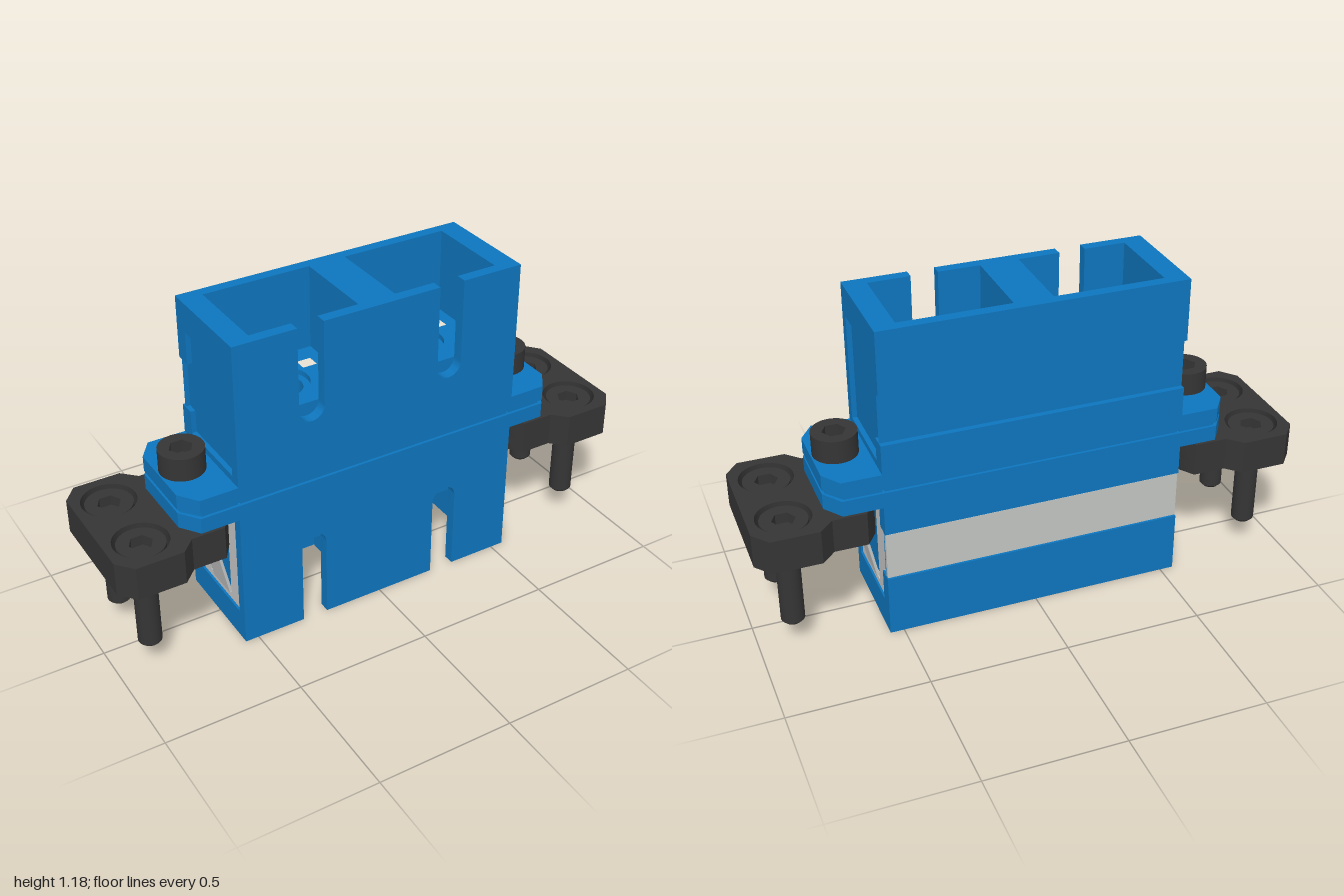
import * as THREE from 'three';
import { toCreasedNormals } from 'three/addons/utils/BufferGeometryUtils.js';

const mat = (name, color) => {
  const m = new THREE.MeshStandardMaterial({ color });
  m.name = name;
  return m;
};

export function createModel() {
  const blue = mat('blue plastic', 0x0e76be);
  const dark = mat('dark steel', 0x353535);
  const grey = mat('clip metal', 0xc4c6c4);
  const MID = 0.59, CELL = 0.27;

  const add = (parent, name, geo, material, x = 0, y = 0, z = 0) => {
    const m = new THREE.Mesh(geo, material);
    m.name = name;
    m.position.set(x, y, z);
    parent.add(m);
    return m;
  };
  const group = (parent, name) => {
    const g = new THREE.Group();
    g.name = name;
    parent.add(g);
    return g;
  };
  // Points are [x, z]; shapes are extruded upwards from y0 to y1
  const poly = (pts, C = THREE.Shape) => new C(pts.map(([x, z]) => new THREE.Vector2(x, -z)));
  const circle = (r, x = 0, z = 0, C = THREE.Shape) => new C().absarc(x, -z, r, 0, Math.PI * 2);
  const rise = (shape, y0, y1) => {
    const g = new THREE.ExtrudeGeometry(shape, { depth: y1 - y0, bevelEnabled: false, curveSegments: 20 });
    g.rotateX(-Math.PI / 2).translate(0, y0, 0);
    return toCreasedNormals(g, 0.6);
  };

  // One horizontal slice of the housing behind the front wall
  function slice({ recess = false, groove = false, cavity = false, hole = 0, inset = 0 }) {
    const E = 0.55 - inset, e = recess ? 0.532 : E;
    const back = groove ? -0.18 : -0.2 + inset;
    const step = groove ? back : -0.14;
    const front = inset ? 0.19 : 0.16;
    const pts = [[-E, back], [E, back], [E, step], [e, step], [e, front]];
    if (cavity) {
      for (const c of [CELL, -CELL]) {
        pts.push([c + 0.2, front], [c + 0.2, -0.16], [c - 0.2, -0.16], [c - 0.2, front]);
      }
    }
    pts.push([-e, front], [-e, step], [-E, step]);
    const s = poly(pts.filter((p, i) => !i || p[0] !== pts[i - 1][0] || p[1] !== pts[i - 1][1]));
    if (hole) {
      for (const c of [CELL, -CELL]) {
        s.holes.push(circle(hole, c, 0, THREE.Path));
        // latch pockets beside each bore
        for (const k of [-1, 1]) {
          const a = c + k * 0.14 - 0.035, b = a + 0.07;
          s.holes.push(poly([[a, -0.12], [b, -0.12], [b, 0.12], [a, 0.12]], THREE.Path));
        }
      }
    }
    return s;
  }

  // Front wall of one half, with two round-ended slots
  function frontWall() {
    const s = new THREE.Shape();
    s.moveTo(-0.55, 0.597);
    s.lineTo(0.55, 0.597);
    s.lineTo(0.55, 1.18);
    for (const c of [CELL, -CELL]) {
      s.lineTo(c + 0.048, 1.18);
      s.lineTo(c + 0.048, 0.87);
      s.absarc(c, 0.87, 0.048, 0, Math.PI, true);
      s.lineTo(c - 0.048, 1.18);
    }
    s.lineTo(-0.55, 1.18);
    const g = new THREE.ExtrudeGeometry(s, { depth: 0.04, bevelEnabled: false, curveSegments: 16 });
    return toCreasedNormals(g.translate(0, 0, 0.16), 0.6);
  }

  // Upper half about the seam; the lower half is the same turned over
  function housingHalf(parent, name) {
    const h = group(parent, name);
    const layers = [
      [0.59, 0.597, { inset: 0.01, hole: 0.07 }],
      [0.597, 0.68, { hole: 0.07 }],
      [0.68, 0.765, { recess: true, hole: 0.07 }],
      [0.765, 0.85, { recess: true, groove: true, hole: 0.07 }],
      [0.85, 0.87, { recess: true, groove: true, hole: 0.095 }],
      [0.87, 0.95, { recess: true, groove: true, cavity: true }],
      [0.95, 1.07, { recess: true, cavity: true }],
      [1.07, 1.18, { cavity: true }],
    ];
    for (const [a, b, o] of layers) add(h, 'housingSlice', rise(slice(o), a, b), blue);
    add(h, 'frontWall', frontWall(), blue);
    // flange ears with clipped corners and a fine seam
    const ear = (i) => poly([[0.53, -0.2 + i], [0.69 - i, -0.2 + i], [0.74 - i, -0.13],
      [0.74 - i, 0.13], [0.69 - i, 0.2 - i], [0.53, 0.2 - i]].map(([x, z]) => [x < 0.54 ? 0.549 : x, z]));
    for (const turn of [0, Math.PI]) {
      add(h, 'flangeEar', rise(ear(0), 0.597, 0.655), blue).rotation.y = turn;
      add(h, 'flangeSeam', rise(ear(0.01), 0.59, 0.597), blue).rotation.y = turn;
    }
    return h;
  }

  // Socket head cap screw, origin at the top of the head
  function screw(parent, name, r, headH, shaftR, len, x, y, z) {
    const g = group(parent, name);
    g.position.set(x, y, z);
    const hex = [];
    for (let i = 0; i < 6; i++) hex.push([0.042 * Math.cos(i * Math.PI / 3), 0.042 * Math.sin(i * Math.PI / 3)]);
    const ring = circle(r);
    ring.holes.push(poly(hex, THREE.Path));
    add(g, 'screwHead', rise(ring, -headH, 0), dark);
    add(g, 'socketFloor', new THREE.CylinderGeometry(r * 0.9, r * 0.9, headH * 0.4, 24), dark, 0, -headH * 0.75, 0);
    const c = 0.012;
    const profile = [[0, -len], [shaftR - c, -len], [shaftR, -len + c], [shaftR, -headH]];
    const shaft = new THREE.LatheGeometry(profile.map(([a, b]) => new THREE.Vector2(a, b)), 24);
    add(g, 'screwShaft', toCreasedNormals(shaft, 0.6), dark);
  }

  // Mounting bracket on the +x side, with counterbored screws
  function bracket(parent, name) {
    const g = group(parent, name);
    const half = [[0.57, 0.15], [0.61, 0.21], [0.73, 0.21], [0.78, 0.26], [0.95, 0.26], [1, 0.2]];
    const outline = [...half, ...half.map(([x, z]) => [x, -z]).reverse()];
    const top = poly(outline);
    for (const z of [-0.13, 0.13]) top.holes.push(circle(0.096, 0.875, z, THREE.Path));
    add(g, 'bracketBase', rise(poly(outline), 0.4, 0.45), dark);
    add(g, 'bracketTop', rise(top, 0.45, 0.525), dark);
    for (const z of [-0.13, 0.13]) screw(g, 'mountingScrew', 0.083, 0.07, 0.042, 0.415, 0.875, 0.515, z);
    screw(g, 'flangeScrew', 0.08, 0.085, 0.042, 0.25, 0.655, 0.74, 0);
    return g;
  }

  // Sheet-metal clip wrapped round the back of the lower half
  function springClip(parent) {
    const g = group(parent, 'springClip');
    const box = (name, x, y0, y1, z0, z1) => add(g, name,
      new THREE.BoxGeometry(0.012, y1 - y0, z1 - z0), grey, x, (y0 + y1) / 2, (z0 + z1) / 2);
    add(g, 'clipBack', new THREE.BoxGeometry(1.096, 0.178, 0.016), grey, 0, 0.3225, -0.188);
    for (const s of [-1, 1]) {
      const x = s * 0.538;
      box('clipBottom', x, 0.115, 0.14, -0.137, 0.155);
      box('clipTop', x, 0.45, 0.495, -0.137, 0.155);
      box('clipFrontStrip', x, 0.14, 0.45, 0.09, 0.155);
      box('clipRearStrip', x, 0.14, 0.45, -0.137, -0.068);
      box('clipCorner', x, 0.235, 0.41, -0.19, -0.137);
      // tongue sprung outwards towards the bracket
      const tongue = add(g, 'clipTongue', new THREE.BoxGeometry(0.01, 0.29, 0.125), grey, s * 0.569, 0.27, 0.0175);
      tongue.rotation.z = -s * 0.21;
    }
  }

  const model = new THREE.Group();
  model.name = 'duplexAdapter';
  housingHalf(model, 'upperHousing');
  const lower = housingHalf(model, 'lowerHousing');
  lower.rotation.z = Math.PI;
  lower.position.y = MID * 2;
  springClip(model);
  bracket(model, 'leftBracket');
  bracket(model, 'rightBracket').rotation.y = Math.PI;
  return model;
}
